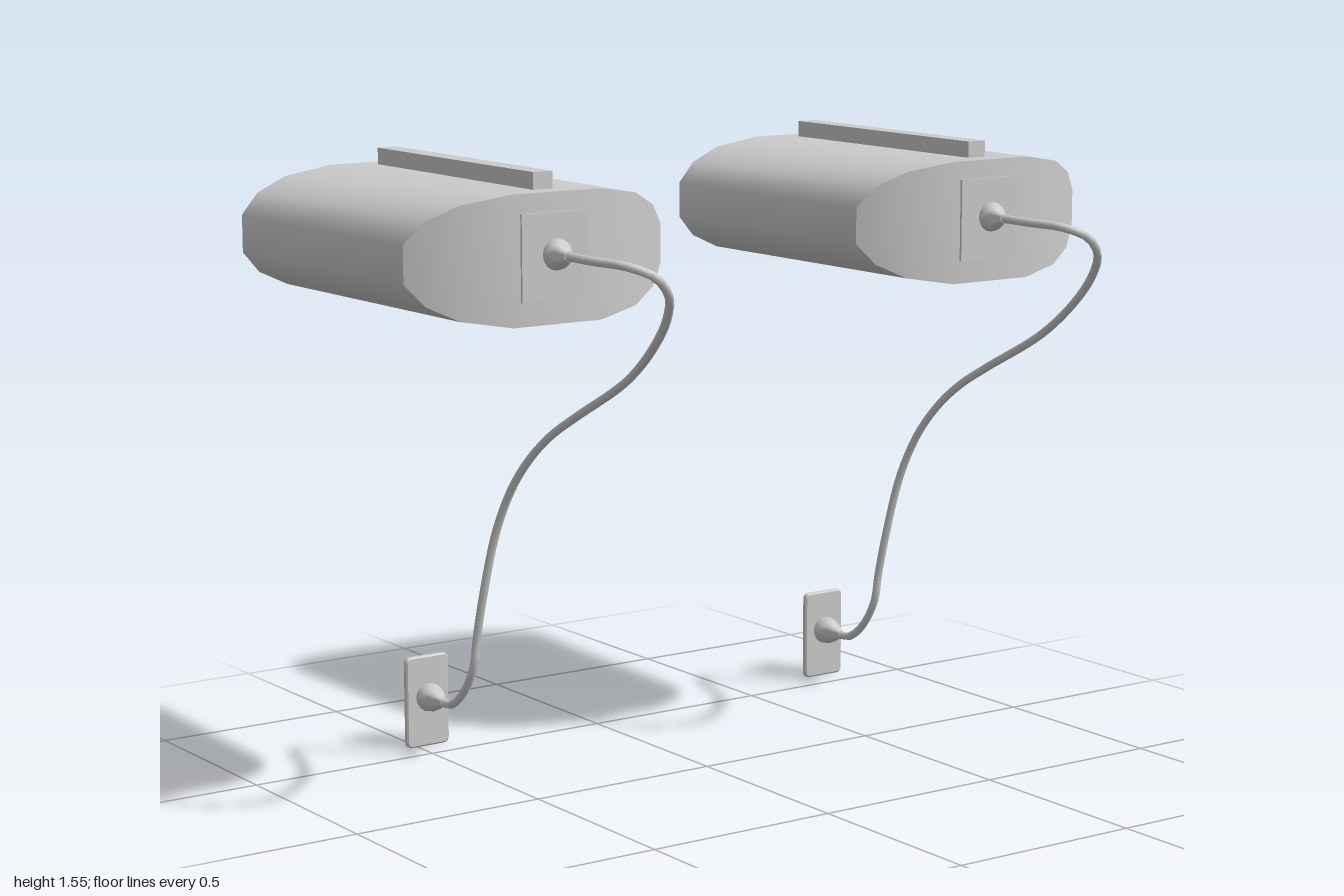
import * as THREE from 'three';
import { toCreasedNormals } from 'three/addons/utils/BufferGeometryUtils.js';

const material = new THREE.MeshStandardMaterial({ color: 0xcccccc });
const BODY_Y = 1.36, BODY_Z = 0.6325, SPACING = 1.265;

function part(name, geometry, parent, x = 0, y = 0, z = 0) {
  const mesh = new THREE.Mesh(geometry, material);
  mesh.name = name;
  mesh.position.set(x, y, z);
  parent.add(mesh);
  return mesh;
}

function indexed(points, index) {
  const g = new THREE.BufferGeometry();
  g.setAttribute('position', new THREE.Float32BufferAttribute(points.flat(), 3));
  g.setIndex(index);
  g.computeVertexNormals();
  return g;
}

// Flattened barrel section lofted along x, tapering to a bowed end
function buildBody(parent) {
  // z, y, x of the bowed end for one quarter of the section
  const quarter = [[0.3675, 0.045, 0.22], [0.325, 0.095, 0.247], [0.25, 0.13, 0.28], [0.125, 0.15, 0.313]];
  const top = [...quarter, ...quarter.map(([z, y, x]) => [-z, y, x]).reverse()];
  const ring = [...top, ...top.map(([z, y, x]) => [z, -y, x]).reverse()];
  const n = ring.length;
  const back = ring.map(([z, y]) => [-0.5, y, z]);
  const front = ring.map(([z, y, x]) => [x, y, z * 0.94]);
  const points = [...back, ...front];

  const side = [], end = [], rear = [];
  for (let i = 0; i < n; i++) {
    const j = (i + 1) % n;
    side.push(i, n + i, n + j, i, n + j, j);
  }
  for (let k = 0; k < n / 2 - 1; k++) {
    const a = k, b = n - 1 - k, c = n - 2 - k, d = k + 1;
    end.push(n + a, n + b, n + c, n + a, n + c, n + d);
    rear.push(a, c, b, a, d, c);
  }
  part('bodyShell', indexed(points, side), parent, 0, BODY_Y, BODY_Z);
  part('bodyBowedEnd', toCreasedNormals(indexed(points, end), 0.4), parent, 0, BODY_Y, BODY_Z);
  part('bodyRearEnd', indexed(points, rear), parent, 0, BODY_Y, BODY_Z);
}

// Bell-shaped strain relief pointing along +x
function bell(length) {
  const profile = [[0, 0], [0.034, 0], [0.037, 0.12], [0.034, 0.35], [0.026, 0.6], [0.016, 0.82], [0.011, 1], [0, 1]]
    .map(([r, t]) => new THREE.Vector2(r, t * length));
  return toCreasedNormals(new THREE.LatheGeometry(profile, 16).rotateZ(-Math.PI / 2), 0.9);
}

// Thin wall plate with rounded corners and a small bevel
function wallPlate() {
  const w = 0.058, h = 0.1145, r = 0.012;
  const s = new THREE.Shape();
  s.moveTo(-w + r, -h);
  s.lineTo(w - r, -h).quadraticCurveTo(w, -h, w, -h + r);
  s.lineTo(w, h - r).quadraticCurveTo(w, h, w - r, h);
  s.lineTo(-w + r, h).quadraticCurveTo(-w, h, -w, h - r);
  s.lineTo(-w, -h + r).quadraticCurveTo(-w, -h, -w + r, -h);
  const g = new THREE.ExtrudeGeometry(s, {
    depth: 0.009, bevelThickness: 0.004, bevelSize: 0.004, bevelSegments: 1, curveSegments: 4,
  });
  return g.rotateY(Math.PI / 2);
}

function cable() {
  const path = [
    [0.35, 1.37, 0.64], [0.45, 1.367, 0.63], [0.535, 1.36, 0.59], [0.563, 1.335, 0.535],
    [0.548, 1.29, 0.49], [0.5, 1.235, 0.46], [0.41, 1.16, 0.43], [0.23, 1.045, 0.39],
    [0.0, 0.925, 0.385], [-0.08, 0.875, 0.397], [-0.15, 0.815, 0.41], [-0.215, 0.73, 0.427],
    [-0.27, 0.61, 0.443], [-0.31, 0.45, 0.457], [-0.338, 0.32, 0.463], [-0.347, 0.255, 0.466],
    [-0.39, 0.18, 0.47], [-0.455, 0.132, 0.47], [-0.51, 0.13, 0.47],
  ].map((p) => new THREE.Vector3(...p));
  return new THREE.TubeGeometry(new THREE.CatmullRomCurve3(path), 72, 0.0105, 8, false);
}

function buildUnit(name) {
  const unit = new THREE.Group();
  unit.name = name;
  buildBody(unit);
  part('topRail', new THREE.BoxGeometry(0.7, 0.06, 0.052), unit, -0.095, 1.52, BODY_Z);
  part('socketPlate', new THREE.BoxGeometry(0.03, 0.2, 0.175), unit, 0.304, 1.365, 0.642);
  part('bodyConnector', bell(0.055), unit, 0.317, 1.37, 0.64);
  part('cable', cable(), unit);
  part('wallPlate', wallPlate(), unit, -0.581, 0.1185, 0.47);
  part('wallConnector', bell(0.08), unit, -0.57, 0.13, 0.47);
  return unit;
}

export function createModel() {
  const model = new THREE.Group();
  model.name = 'pairedCableUnits';
  const frontUnit = buildUnit('frontUnit');
  const backUnit = buildUnit('backUnit');
  backUnit.position.z = -SPACING;
  model.add(frontUnit, backUnit);
  return model;
}
